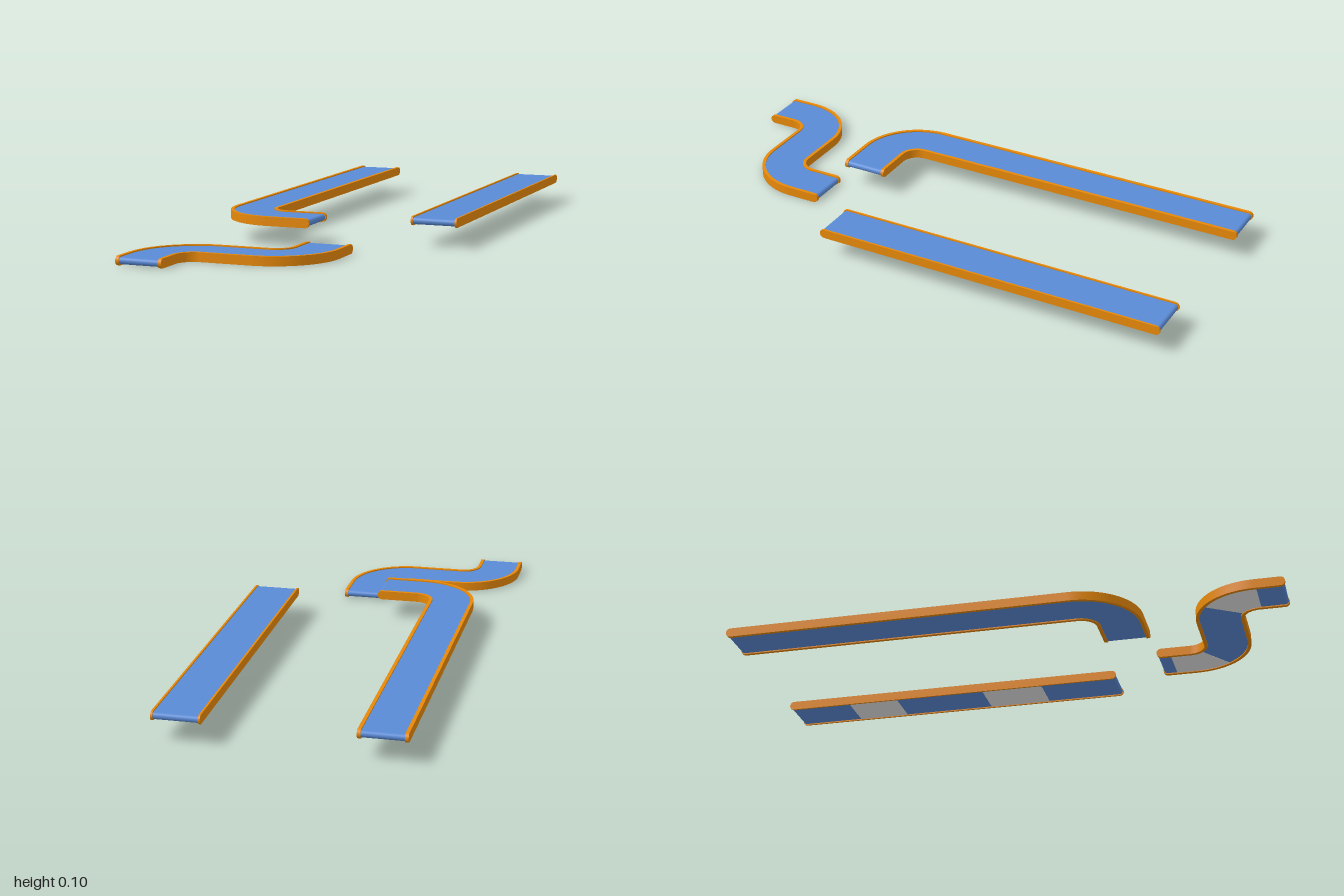
import * as THREE from 'three';

const HALF = 0.0825;     // half width of a track, rails included
const RAIL_R = 0.0162;   // half height of a rail
const BELT_R = 0.0118;   // half height of the belt
const TURN = 0.141;      // centre-line radius of a bend

// Ground path from a start point (heading +z), made of straight runs and quarter bends
function makePath(x, z, pieces) {
  const segs = [];
  let s = 0, th = 0;
  for (const p of pieces) {
    const turn = p.turn || 0;
    const len = turn ? TURN * Math.PI / 2 : p.run;
    segs.push({ s, len, x, z, th, turn });
    const end = walk(segs[segs.length - 1], len);
    x = end.x; z = end.z; th = end.th; s += len;
  }
  return { segs, length: s };
}

function walk(g, d) {
  if (!g.turn) return { x: g.x + Math.sin(g.th) * d, z: g.z + Math.cos(g.th) * d, th: g.th };
  const k = TURN * g.turn, th = g.th + d / k;
  return {
    x: g.x + k * (Math.cos(g.th) - Math.cos(th)),
    z: g.z - k * (Math.sin(g.th) - Math.sin(th)),
    th,
  };
}

function pathAt(path, s) {
  const g = path.segs.find(q => s <= q.s + q.len + 1e-9) || path.segs[path.segs.length - 1];
  return walk(g, s - g.s);
}

// Solid band following a path between side offsets a < b, with rounded ends of radius r
function band(path, a, b, y, r, s0, s1) {
  const stations = [];
  const CAP = 8;
  for (let i = 0; i <= CAP; i++) {
    const t = i / CAP * Math.PI / 2;
    const h = r * Math.sin(t), d = r * (1 - Math.cos(t));
    stations.push([s0 + d, h], [s1 - d, h]);
  }
  for (const g of path.segs) {
    const n = g.turn ? 18 : 1;
    for (let i = 0; i < n; i++) {
      const s = g.s + g.len * i / n;
      if (s > s0 + r + 1e-4 && s < s1 - r - 1e-4) stations.push([s, r]);
    }
  }
  stations.sort((p, q) => p[0] - q[0]);

  const edge = (off, sign) => stations.map(([s, h]) => {
    const p = pathAt(path, s);
    return [p.x + Math.cos(p.th) * off, y + sign * h, p.z - Math.sin(p.th) * off];
  });
  const at = edge(a, 1), ab = edge(a, -1), bt = edge(b, 1), bb = edge(b, -1);

  const pos = [], idx = [];
  for (const [P, Q] of [[at, bt], [bt, bb], [bb, ab], [ab, at]]) {
    const base = pos.length / 3;
    P.forEach((p, i) => pos.push(...p, ...Q[i]));
    for (let i = 0; i < P.length - 1; i++) {
      const k = base + i * 2;
      idx.push(k, k + 2, k + 3, k, k + 3, k + 1);
    }
  }
  const geo = new THREE.BufferGeometry();
  geo.setAttribute('position', new THREE.Float32BufferAttribute(pos, 3));
  geo.setIndex(idx);
  geo.computeVertexNormals();
  return geo;
}

export function createModel() {
  const mat = (name, color) => {
    const m = new THREE.MeshStandardMaterial({ color });
    m.name = name;
    return m;
  };
  const orange = mat('railOrange', 0xe8890a);
  const blue = mat('beltBlue', 0x5a8bd6);
  const grey = mat('undersideGrey', 0xf0f0f0);

  const model = new THREE.Group();
  model.name = 'conveyorTracks';

  function addTrack(name, path, y, railWidth, patches) {
    const track = new THREE.Group();
    track.name = name;
    const add = (part, geo, m) => {
      const mesh = new THREE.Mesh(geo, m);
      mesh.name = part;
      track.add(mesh);
    };
    const L = path.length, inner = HALF - railWidth;
    add('belt', band(path, -inner, inner, y, BELT_R, 0.003, L - 0.003), blue);
    add('leftRail', band(path, inner, HALF, y, RAIL_R, 0, L), orange);
    add('rightRail', band(path, -HALF, -inner, y, RAIL_R, 0, L), orange);
    // thin plates under the belt
    for (const [s0, s1] of patches) {
      add('undersidePlate', band(path, -inner, inner, y - BELT_R - 0.0005, 0.001, s0, s1), grey);
    }
    model.add(track);
  }

  // Straight track
  addTrack('straightTrack', makePath(0.379, -1, [{ run: 1.29 }]),
    0.0875, 0.007, [[0.24, 0.43], [0.77, 1.0]]);

  // Long track with one bend
  addTrack('cornerTrack', makePath(-0.295, -1, [{ run: 1.25 }, { turn: 1 }, { run: 0.149 }]),
    0.0875, 0.012, []);

  // Low track with two opposite bends
  addTrack('sBendTrack',
    makePath(0.081, 0.493, [{ run: 0.121 }, { turn: -1 }, { run: 0.179 }, { turn: 1 }, { run: 0.104 }]),
    0.0165, 0.012, [[0.05, 0.21], [0.6, 0.75]]);

  return model;
}
